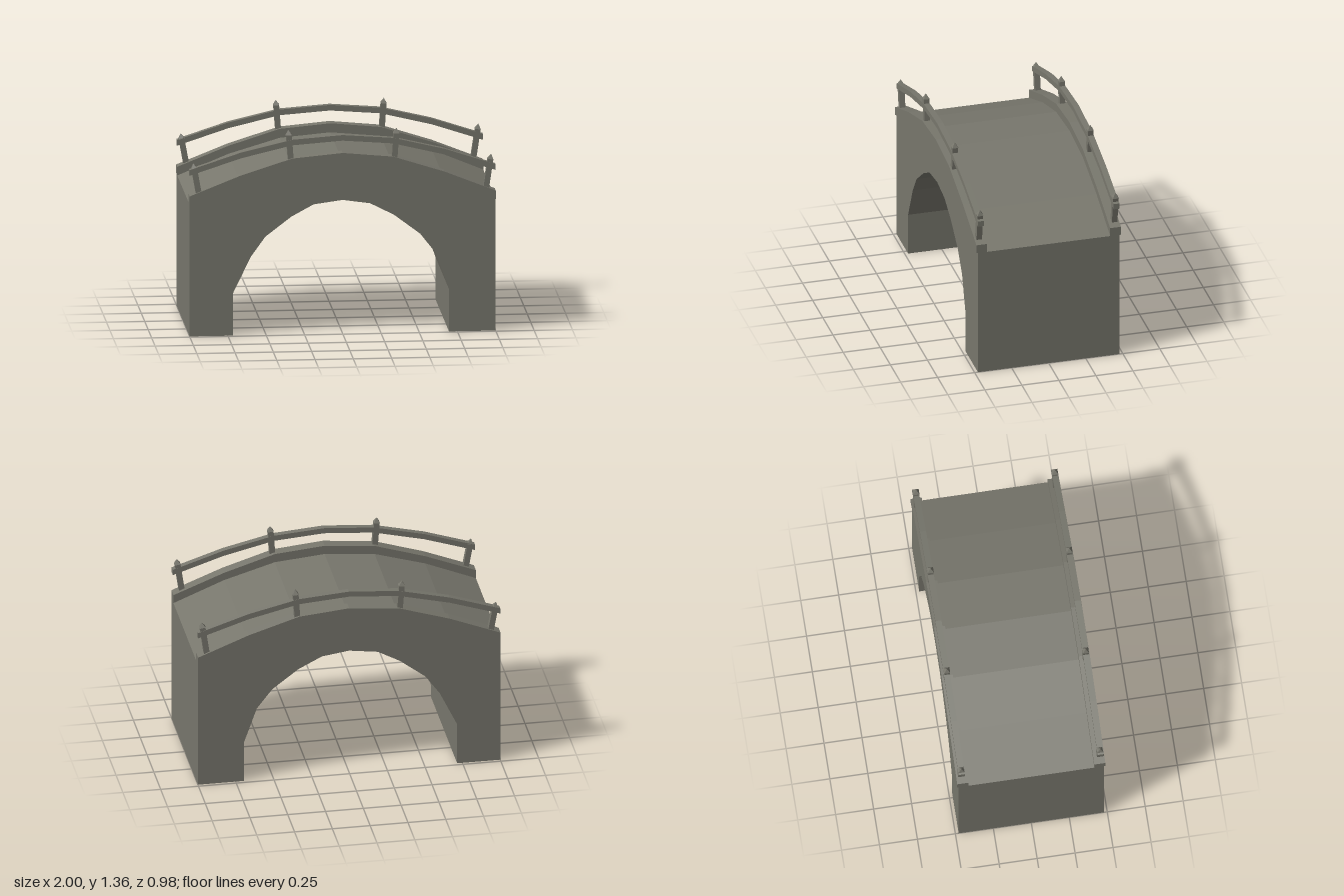
import * as THREE from 'three';

export function createModel() {
  const bridge = new THREE.Group();
  bridge.name = 'archBridge';
  const stone = new THREE.MeshStandardMaterial({ color: 0x78776d });
  stone.name = 'weatheredStone';

  function add(geometry, name, parent = bridge) {
    const flat = geometry.index ? geometry.toNonIndexed() : geometry;
    flat.computeVertexNormals();
    const mesh = new THREE.Mesh(flat, stone);
    mesh.name = name;
    parent.add(mesh);
    return mesh;
  }

  // Extrude a side outline between two z positions
  function slab(points, z0, z1) {
    const shape = new THREE.Shape(points.map(([x, y]) => new THREE.Vector2(x, y)));
    const geometry = new THREE.ExtrudeGeometry(shape, { depth: z1 - z0, bevelEnabled: false });
    return geometry.translate(0, 0, z0);
  }

  // Outline of a curved strip from its lower and upper heights
  const stations = [-1, -0.665, -0.33, 0, 0.33, 0.665, 1];
  const mirrored = h => [...h, ...h.slice(0, -1).reverse()];
  const line = h => mirrored(h).map((y, i) => [stations[i], y]);
  const strip = (low, high) => [...line(low), ...line(high).reverse()];

  // Solid body with the arched opening
  const deck = [0.877, 1.015, 1.115, 1.145];
  const arch = [
    [0.695, 0], [0.695, 0.282], [0.61, 0.523], [0.507, 0.655], [0.335, 0.785],
    [0.18, 0.864], [0, 0.89], [-0.19, 0.864], [-0.335, 0.785], [-0.505, 0.655],
    [-0.6, 0.523], [-0.715, 0.285], [-0.715, 0],
  ];
  add(slab([[-1, 0], ...line(deck), [1, 0], ...arch], -0.478, 0.478), 'archBody');

  // Post leaning outwards, with a pointed top
  function post(side, baseX, baseY, topX, tipY) {
    const group = new THREE.Group();
    group.name = 'railingPost';
    const dx = topX - baseX, dy = tipY - baseY;
    const length = Math.hypot(dx, dy), tip = 0.034, w = 0.037;
    const shaft = new THREE.BoxGeometry(w, length - tip, w).translate(0, (length - tip) / 2, 0);
    add(shaft, 'postShaft', group);
    const cap = new THREE.ConeGeometry(w * Math.SQRT1_2 * 1.08, tip, 4, 1)
      .rotateY(Math.PI / 4).translate(0, length - tip / 2, 0);
    add(cap, 'postCap', group);
    group.position.set(baseX, baseY, side * 0.457);
    group.rotation.z = -Math.atan2(dx, dy);
    bridge.add(group);
  }

  // Kerb, handrail and posts on both sides
  for (const side of [1, -1]) {
    const across = (a, b) => (side > 0 ? [a, b] : [-b, -a]);
    add(slab(strip(deck, [0.935, 1.068, 1.174, 1.205]), ...across(0.415, 0.488)), 'kerb');
    add(slab(strip([1.07, 1.18, 1.26, 1.285], [1.108, 1.218, 1.297, 1.322]),
      ...across(0.438, 0.478)), 'handrail');
    post(side, -0.938, 0.945, -0.975, 1.148);
    post(side, -0.337, 1.155, -0.353, 1.36);
    post(side, 0.34, 1.155, 0.354, 1.36);
    post(side, 0.938, 0.945, 0.972, 1.175);
  }

  return bridge;
}
